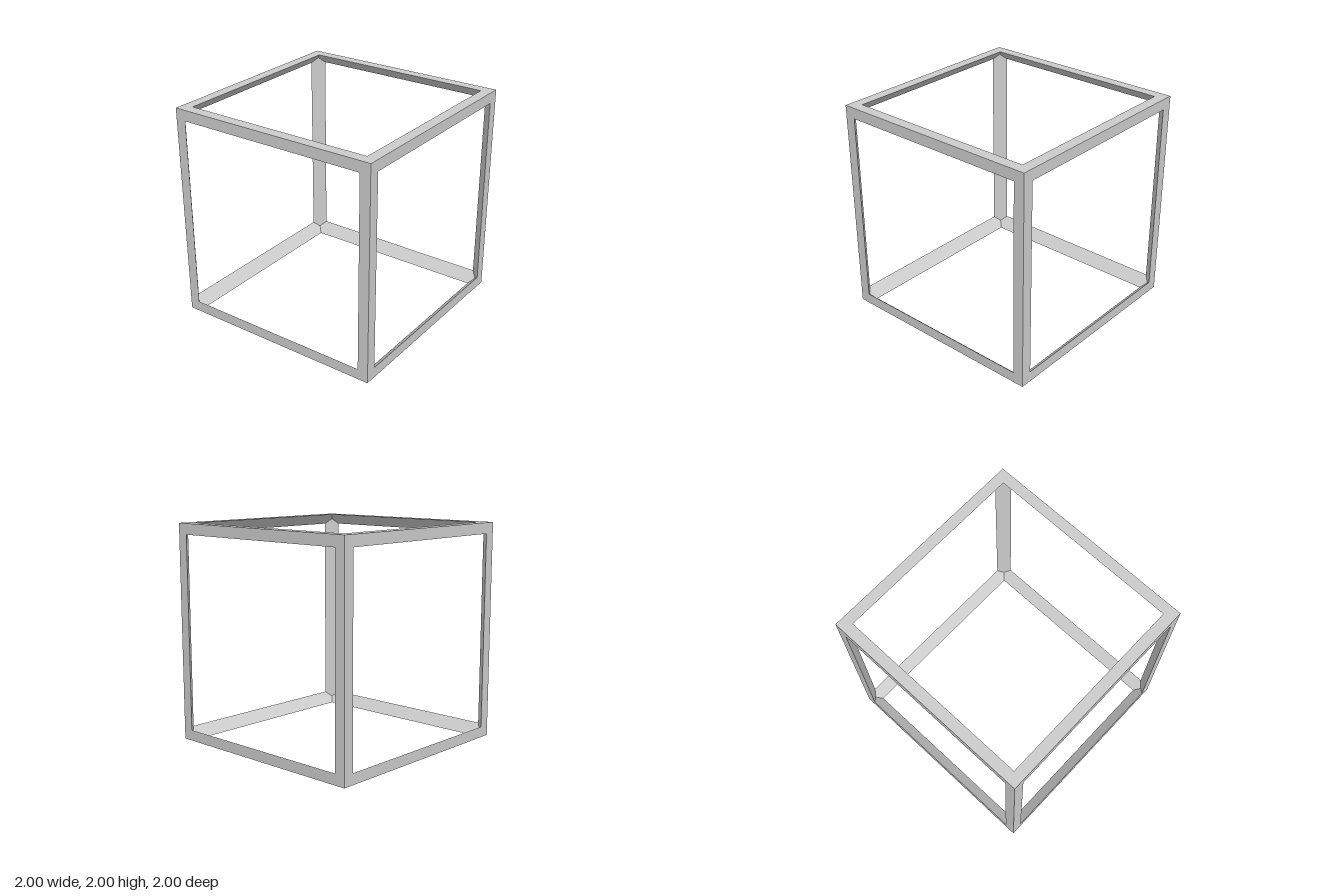
import * as THREE from 'three';

const R = 1;      // half size of the cube
const W = 0.1;    // width of each visible bar face

// Triangular bar along x on the (+y, +z) edge, mitred at both ends
function barGeometry() {
  const r = R - W, m = R - W / 2;
  const P = {
    A: [-R, R, R], B: [R, R, R],      // outer edge
    C: [r, r, R], D: [-r, r, R],      // rim of the front window
    E: [r, R, r], F: [-r, R, r],      // rim of the top window
    G: [m, m, m], H: [-m, m, m],      // inner corners where three bevels meet
  };
  const positions = [];
  // outer faces, then the bevelled inner face, each as a fan
  for (const face of ['DCBA', 'ABEF', 'DHFEGC']) {
    for (let i = 1; i < face.length - 1; i++) {
      positions.push(...P[face[0]], ...P[face[i]], ...P[face[i + 1]]);
    }
  }
  const geometry = new THREE.BufferGeometry();
  geometry.setAttribute('position', new THREE.Float32BufferAttribute(positions, 3));
  geometry.computeVertexNormals();
  return geometry;
}

export function createModel() {
  const model = new THREE.Group();
  model.name = 'cubeFrame';
  const material = new THREE.MeshStandardMaterial({ color: 0xcccccc, flatShading: true });
  const bar = barGeometry();

  // Four parallel bars for each of the three directions
  const directions = [
    ['widthBar', 0, 0],
    ['uprightBar', 0, Math.PI / 2],
    ['depthBar', Math.PI / 2, 0],
  ];
  for (const [name, turnY, turnZ] of directions) {
    const set = new THREE.Group();
    set.name = name + 's';
    set.rotation.set(0, turnY, turnZ);
    set.position.y = R;
    for (let i = 0; i < 4; i++) {
      const mesh = new THREE.Mesh(bar, material);
      mesh.name = name + (i + 1);
      mesh.rotation.x = i * Math.PI / 2;
      set.add(mesh);
    }
    model.add(set);
  }
  return model;
}
